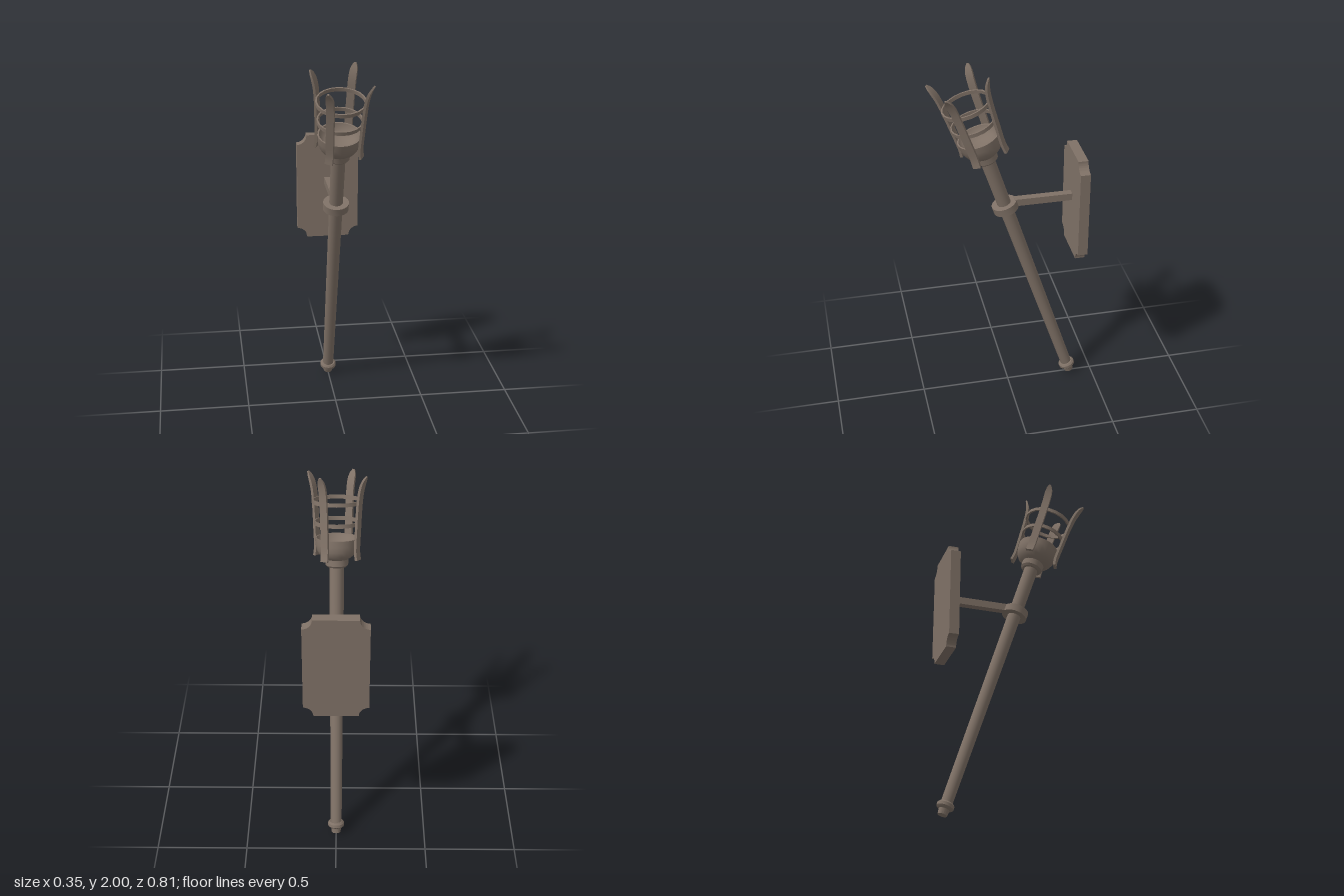
import * as THREE from 'three';
import { toCreasedNormals } from 'three/addons/utils/BufferGeometryUtils.js';

export function createModel() {
  const model = new THREE.Group();
  model.name = 'wallTorch';
  const iron = new THREE.MeshStandardMaterial({ color: 0x7f7166 });
  iron.name = 'brownIron';

  const add = (parent, name, geometry) => {
    const mesh = new THREE.Mesh(toCreasedNormals(geometry, 0.6), iron);
    mesh.name = name;
    parent.add(mesh);
    return mesh;
  };
  // Turned part from [radius, height] pairs, listed up the outside
  const turned = (points, sides = 20) =>
    new THREE.LatheGeometry(points.map(([r, y]) => new THREE.Vector2(r, y)), sides);
  // Flat band around the axis
  const band = (inner, outer, y, height) => turned([
    [inner, y - height / 2], [outer, y - height / 2],
    [outer, y + height / 2], [inner, y + height / 2], [inner, y - height / 2]]);

  // Wall plate with scooped corners
  const w = 0.173, h = 0.302, c = 0.054;
  const outline = new THREE.Shape();
  outline.moveTo(-w + c, -h);
  outline.lineTo(w - c, -h);
  outline.absarc(w, -h, c, Math.PI, Math.PI / 2, true);
  outline.lineTo(w, h - c);
  outline.absarc(w, h, c, -Math.PI / 2, -Math.PI, true);
  outline.lineTo(-w + c, h);
  outline.absarc(-w, h, c, 0, -Math.PI / 2, true);
  outline.lineTo(-w, -h + c);
  outline.absarc(-w, -h, c, Math.PI / 2, 0, true);
  const plate = add(model, 'wallPlate',
    new THREE.ExtrudeGeometry(outline, { depth: 0.054, bevelEnabled: false, curveSegments: 8 }));
  plate.position.set(0, 1.187, -0.406);

  // Bracket arm
  const arm = add(model, 'bracketArm', new THREE.BoxGeometry(0.04, 0.04, 0.325));
  arm.position.set(0, 1.22, -0.199);

  // Leaning torch, built upright along its own axis
  const torch = new THREE.Group();
  torch.name = 'torch';
  torch.position.set(0, 0.01, -0.372);
  torch.rotation.x = THREE.MathUtils.degToRad(18);
  model.add(torch);

  add(torch, 'shaft', turned([[0, 0.05], [0.031, 0.05], [0.039, 1.58], [0, 1.58]], 16));
  add(torch, 'endKnob', turned([
    [0, 0], [0.025, 0], [0.029, 0.03], [0.038, 0.034], [0.046, 0.042],
    [0.046, 0.058], [0.038, 0.068], [0, 0.068]], 16));
  add(torch, 'clampRing', band(0.03, 0.07, 1.249, 0.042));

  // Hollow fire bowl
  add(torch, 'bowl', turned([
    [0, 1.552], [0.05, 1.552], [0.06, 1.562], [0.062, 1.595], [0.074, 1.603],
    [0.094, 1.62], [0.107, 1.645], [0.113, 1.675], [0.115, 1.708],
    [0.107, 1.708], [0.1, 1.69], [0.08, 1.669], [0.05, 1.654], [0, 1.647]], 24));

  // Basket hoops
  add(torch, 'lowerHoop', band(0.113, 0.121, 1.788, 0.02));
  add(torch, 'upperHoop', band(0.123, 0.132, 1.9, 0.02));

  // Prongs: a bar bent outward at the tip and rounded at the end
  const bend = new THREE.CatmullRomCurve3([
    [0.128, 1.6], [0.122, 1.64], [0.126, 1.75], [0.135, 1.9], [0.144, 1.965], [0.158, 2.01], [0.175, 2.042],
  ].map(([r, y]) => new THREE.Vector3(r, y, 0)));
  const prongShape = () => {
    const g = new THREE.BoxGeometry(0.014, 1, 0.042, 1, 24, 1);
    const p = g.attributes.position;
    for (let i = 0; i < p.count; i++) {
      const t = p.getY(i) + 0.5;
      const at = bend.getPointAt(t), dir = bend.getTangentAt(t);
      const tip = Math.max(0, (t - 0.86) / 0.14);
      const width = Math.max(0.25, Math.sqrt(1 - tip * tip));
      const off = p.getX(i) * (1 - 0.4 * tip);
      p.setXYZ(i, at.x + dir.y * off, at.y - dir.x * off, p.getZ(i) * width);
    }
    return g;
  };
  for (let k = 0; k < 4; k++) {
    const prong = add(torch, 'prong', prongShape());
    prong.rotation.y = -(Math.PI / 6 + k * Math.PI / 2);
  }
  return model;
}
